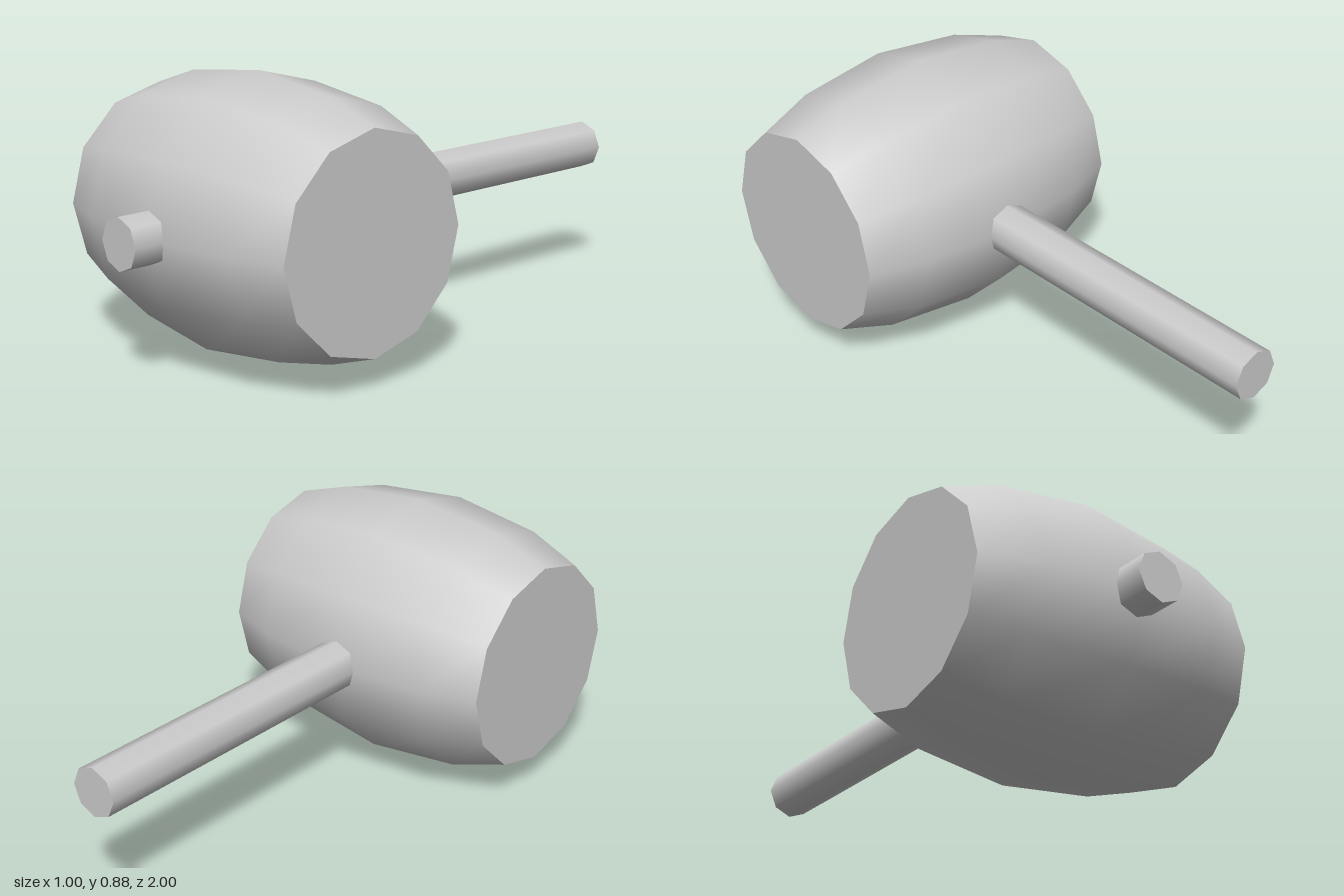
import * as THREE from 'three';

export function createModel() {
  const model = new THREE.Group();
  const grey = new THREE.MeshStandardMaterial({ color: 0xcccccc });
  grey.name = 'plain grey';

  const add = (parent, name, geometry) => {
    const mesh = new THREE.Mesh(geometry, grey);
    mesh.name = name;
    parent.add(mesh);
    return mesh;
  };

  // Barrel-shaped head, lying along x
  const head = new THREE.Group();
  head.name = 'head';
  head.position.set(0, 0.44, 0.475);
  model.add(head);
  const profile = [[0.339, -0.5], [0.402, -0.315], [0.439, 0], [0.402, 0.315], [0.339, 0.5]]
    .map(([r, y]) => new THREE.Vector2(r, y));
  add(head, 'barrel', new THREE.LatheGeometry(profile, 12)).rotation.z = -Math.PI / 2;

  // Flat striking faces
  for (const side of [-1, 1]) {
    const face = add(head, side > 0 ? 'leftFace' : 'rightFace', new THREE.CircleGeometry(0.339, 12));
    face.rotation.y = side * Math.PI / 2;
    face.position.x = side * 0.5;
  }

  // Eight-sided handle passing through the head
  const handle = add(model, 'handle', new THREE.CylinderGeometry(0.081, 0.081, 2, 8));
  handle.rotation.x = Math.PI / 2;
  handle.position.y = 0.44;

  return model;
}
